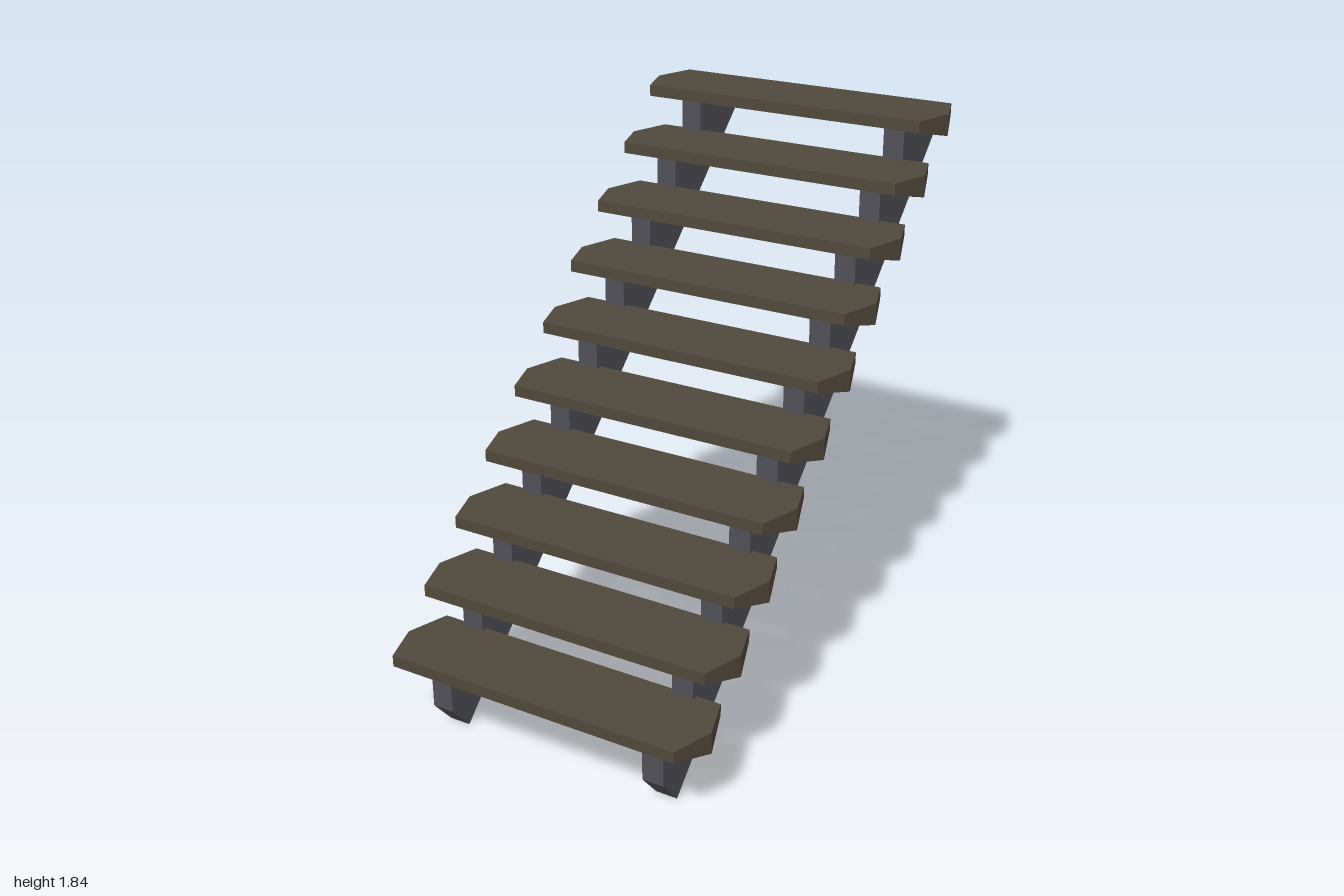
import * as THREE from 'three';
import { ConvexGeometry } from 'three/addons/geometries/ConvexGeometry.js';

const STEPS = 10, RUN = 0.183, RISE = 0.1696;

// Plank with a pointed hexagonal plan and a keel-shaped underside
function treadGeometry() {
  const points = [];
  for (const side of [-1, 1]) {
    for (const z of [-0.144, 0.144]) {
      points.push(new THREE.Vector3(side * 0.527, 0, z));
      points.push(new THREE.Vector3(side * 0.527, -0.04, z));
    }
    points.push(new THREE.Vector3(side * 0.575, 0, 0));
    points.push(new THREE.Vector3(side * 0.575, -0.077, 0));
  }
  return new ConvexGeometry(points);
}

// Sawtooth side beam, drawn in (z, y) and extruded across its thickness
function stringerGeometry() {
  const shape = new THREE.Shape();
  shape.moveTo(0.833, 0);
  shape.lineTo(0.915, 0.098);
  for (let i = 0; i < STEPS; i++) {
    const seat = 0.272 + i * RISE;
    shape.lineTo(0.915 - i * RUN, seat);
    shape.lineTo(0.915 - (i + 1) * RUN, seat);
  }
  shape.lineTo(-1, 1.697);
  shape.closePath();
  const geometry = new THREE.ExtrudeGeometry(shape, { depth: 0.076, bevelEnabled: false });
  geometry.translate(0, 0, -0.038);
  geometry.rotateY(-Math.PI / 2);
  return geometry;
}

export function createModel() {
  const group = new THREE.Group();
  group.name = 'staircase';
  const wood = new THREE.MeshStandardMaterial({ color: 0x50483b, flatShading: true });
  const beam = new THREE.MeshStandardMaterial({ color: 0x525058, flatShading: true });

  // Treads climbing towards the back
  const tread = treadGeometry();
  for (let i = 0; i < STEPS; i++) {
    const mesh = new THREE.Mesh(tread, wood);
    mesh.name = `tread${i + 1}`;
    mesh.position.set(0, 0.31 + i * RISE, 0.856 - i * RUN);
    group.add(mesh);
  }

  // Pair of supporting stringers
  const stringer = stringerGeometry();
  for (const side of [-1, 1]) {
    const mesh = new THREE.Mesh(stringer, beam);
    mesh.name = side > 0 ? 'leftStringer' : 'rightStringer';
    mesh.position.x = side * 0.402;
    group.add(mesh);
  }
  return group;
}
